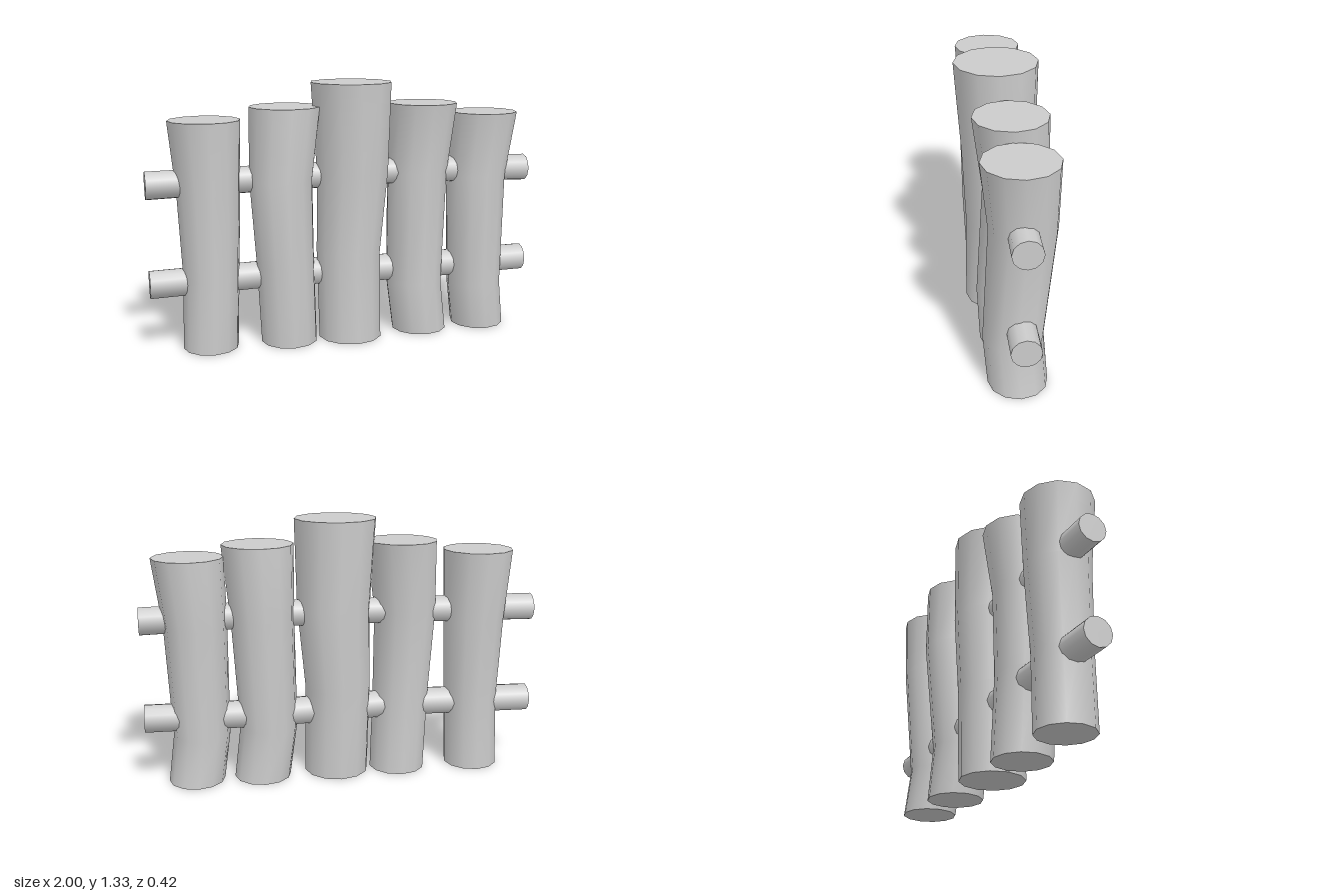
import * as THREE from 'three';
import { toCreasedNormals } from 'three/addons/utils/BufferGeometryUtils.js';

const material = new THREE.MeshStandardMaterial({ color: 0xcccccc });

// A crooked log: a capped cylinder whose rings follow sections of [x, y, z, radius]
function logGeometry(sections, sides, lying = false) {
  const last = sections.length - 1;
  const geometry = new THREE.CylinderGeometry(1, 1, 1, sides, last);
  const p = geometry.attributes.position;
  for (let i = 0; i < p.count; i++) {
    const [x, y, z, r] = sections[Math.round((p.getY(i) + 0.5) * last)];
    const a = p.getX(i) * r, b = p.getZ(i) * r;
    if (lying) p.setXYZ(i, x, y - a, z + b);
    else p.setXYZ(i, x + a, y, z + b);
  }
  return toCreasedNormals(geometry, 0.9);
}

// Upright logs, from the model's right to its left
const posts = {
  outerPostRight: [
    [-0.707, 0, -0.02, 0.14], [-0.695, 0.37, -0.015, 0.14],
    [-0.695, 0.8, -0.025, 0.157], [-0.707, 1.155, -0.022, 0.178],
  ],
  innerPostRight: [
    [-0.302, 0, -0.01, 0.145], [-0.32, 0.42, 0.005, 0.148],
    [-0.336, 0.85, 0, 0.16], [-0.308, 1.21, -0.02, 0.18],
  ],
  middlePost: [
    [0.022, 0, 0, 0.165], [0.015, 0.46, -0.01, 0.168],
    [0.036, 0.88, -0.008, 0.186], [0.025, 1.325, 0.004, 0.206],
  ],
  innerPostLeft: [
    [0.413, 0, -0.02, 0.145], [0.376, 0.27, -0.01, 0.147],
    [0.4, 0.85, -0.05, 0.158], [0.415, 1.21, -0.022, 0.178],
  ],
  outerPostLeft: [
    [0.752, 0, -0.022, 0.142], [0.718, 0.24, -0.003, 0.143],
    [0.73, 0.82, -0.042, 0.156], [0.755, 1.155, -0.025, 0.176],
  ],
};

// Thin cross rails with a slight waver
const rails = {
  lowerRail: [
    [-1, 0.345, -0.028, 0.071], [-0.33, 0.357, -0.028, 0.071],
    [0.33, 0.34, -0.03, 0.071], [1, 0.345, -0.028, 0.071],
  ],
  upperRail: [
    [-1, 0.844, -0.028, 0.07], [-0.33, 0.854, -0.03, 0.067],
    [0.33, 0.86, -0.03, 0.067], [1, 0.846, -0.026, 0.07],
  ],
};

export function createModel() {
  const fence = new THREE.Group();
  fence.name = 'logFence';
  const add = (name, geometry) => {
    const mesh = new THREE.Mesh(geometry, material);
    mesh.name = name;
    fence.add(mesh);
  };
  for (const [name, sections] of Object.entries(posts)) add(name, logGeometry(sections, 12));
  for (const [name, sections] of Object.entries(rails)) add(name, logGeometry(sections, 12, true));
  return fence;
}
